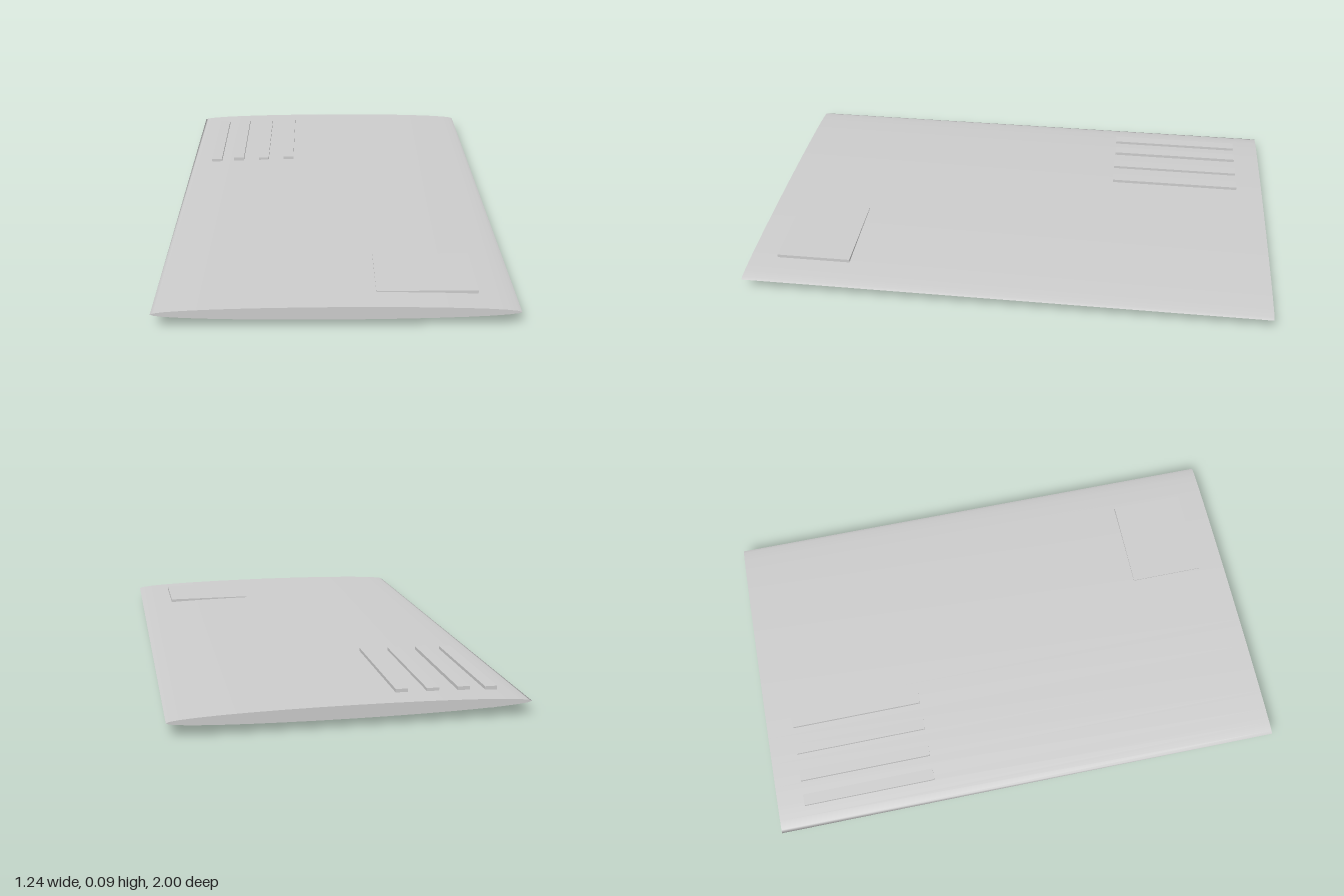
import * as THREE from 'three';

const material = new THREE.MeshStandardMaterial({ color: 0xcccccc });

export function createModel() {
  const group = new THREE.Group();

  function add(name, geometry, x, y, z) {
    const mesh = new THREE.Mesh(geometry, material);
    mesh.name = name;
    mesh.position.set(x, y, z);
    group.add(mesh);
    return mesh;
  }

  // Thin elliptical slab, lying along z
  const slab = new THREE.CylinderGeometry(1, 1, 2, 32);
  slab.rotateX(Math.PI / 2);
  slab.rotateZ(Math.PI / 2);
  slab.scale(0.62, 0.0235, 1);
  slab.computeVertexNormals();
  add('body', slab, 0, 0.0535, 0);

  // Four slats passing through the body near the back right corner
  const slats = [[-0.512, 0], [-0.413, 0.005], [-0.302, 0.006], [-0.191, 0.009]];
  slats.forEach(([x, bottom], i) => {
    add(`slat${i + 1}`, new THREE.BoxGeometry(0.044, 0.079, 0.52), x, bottom + 0.0395, -0.635);
  });

  // Raised plate near the front left corner
  add('plate', new THREE.BoxGeometry(0.35, 0.021, 0.285), 0.313, 0.07, 0.753);

  return group;
}
